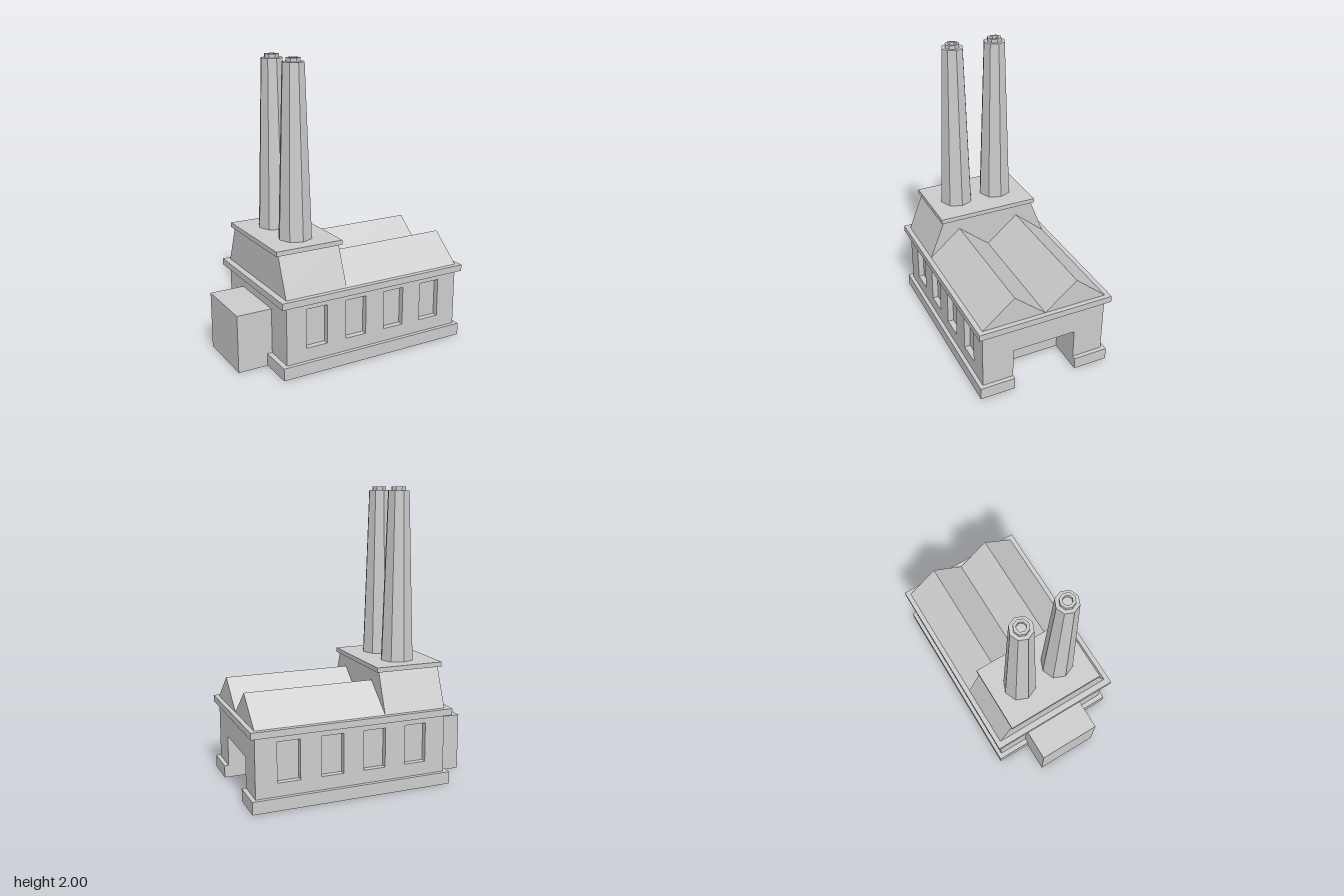
import * as THREE from 'three';

const material = new THREE.MeshStandardMaterial({ color: 0xcccccc, flatShading: true });

function add(parent, name, geometry) {
  const mesh = new THREE.Mesh(geometry, material);
  mesh.name = name;
  parent.add(mesh);
  return mesh;
}

// Box given by its limits on each axis
function block(x0, x1, y0, y1, z0, z1) {
  return new THREE.BoxGeometry(x1 - x0, y1 - y0, z1 - z0)
    .translate((x0 + x1) / 2, (y0 + y1) / 2, (z0 + z1) / 2);
}

function polygon(points) {
  return new THREE.Shape(points.map(([x, y]) => new THREE.Vector2(x, y)));
}

// Rectangular footprint with the doorway cut into its +x end
function notchedFootprint(x0, x1, halfZ, y0, y1) {
  const doorHalf = 0.225, doorBack = 0.54;
  const shape = polygon([
    [x0, -halfZ], [x1, -halfZ], [x1, -doorHalf], [doorBack, -doorHalf],
    [doorBack, doorHalf], [x1, doorHalf], [x1, halfZ], [x0, halfZ],
  ]);
  return new THREE.ExtrudeGeometry(shape, { depth: y1 - y0, bevelEnabled: false })
    .rotateX(-Math.PI / 2).translate(0, y0, 0);
}

// Cross-section in z and y, extended along x
function alongX(points, x0, x1) {
  return new THREE.ExtrudeGeometry(polygon(points), { depth: x1 - x0, bevelEnabled: false })
    .rotateY(Math.PI / 2).translate(x0, 0, 0);
}

// Long wall panel with four window openings
function windowWall(x0, x1, y0, y1, depth) {
  const shape = polygon([[x0, y0], [x1, y0], [x1, y1], [x0, y1]]);
  for (let i = 0; i < 4; i++) {
    const cx = -0.342 + i * 0.296, half = 0.077;
    shape.holes.push(new THREE.Path([
      [cx - half, 0.175], [cx - half, 0.445], [cx + half, 0.445], [cx + half, 0.175],
    ].map(([x, y]) => new THREE.Vector2(x, y))));
  }
  return new THREE.ExtrudeGeometry(shape, { depth, bevelEnabled: false });
}

// Tapered eight-sided stack with a hollow collar at the top
function chimney(z) {
  const profile = [
    [0, 0.83], [0.115, 0.83], [0.075, 1.975], [0.05, 1.975],
    [0.05, 2], [0.031, 2], [0.031, 1.975], [0, 1.975],
  ].map(([r, y]) => new THREE.Vector2(r, y));
  return new THREE.LatheGeometry(profile, 8).translate(-0.342, 0, z);
}

export function createModel() {
  const model = new THREE.Group();
  model.name = 'powerStation';

  // Plinth and hall, both cut by the doorway
  const recess = 0.04, wallZ = 0.443, coreZ = wallZ - recess;
  add(model, 'plinth', notchedFootprint(-0.595, 0.797, 0.47, 0, 0.085));
  add(model, 'lowerHall', notchedFootprint(-0.56, 0.768, coreZ, 0.085, 0.297));
  add(model, 'upperHall', block(-0.56, 0.768, 0.297, 0.49, -coreZ, coreZ));

  // Window walls on the two long sides
  for (const side of [1, -1]) {
    const wall = add(model, side > 0 ? 'frontWindowWall' : 'backWindowWall',
      windowWall(-0.56, 0.768, 0.085, 0.49, recess));
    wall.position.z = side > 0 ? coreZ : -wallZ;
  }

  // Cornice and side annex
  add(model, 'cornice', block(-0.603, 0.8, 0.488, 0.533, -0.477, 0.477));
  add(model, 'annex', block(-0.803, -0.56, 0, 0.398, -0.225, 0.225));

  // Twin gabled roofs
  for (const side of [1, -1]) {
    const c = side * wallZ / 2, h = wallZ / 2;
    add(model, side > 0 ? 'frontGableRoof' : 'backGableRoof',
      alongX([[c - h, 0.533], [c + h, 0.533], [c, 0.72]], -0.13, 0.768));
  }

  // Sloped tower block with its cap, carrying the chimneys
  add(model, 'chimneyBlock',
    alongX([[-wallZ, 0.533], [wallZ, 0.533], [0.338, 0.8], [-0.338, 0.8]], -0.56, -0.12));
  add(model, 'chimneyBlockCap', block(-0.58, -0.102, 0.8, 0.832, -0.357, 0.357));
  for (const side of [1, -1]) {
    add(model, side > 0 ? 'frontChimney' : 'backChimney', chimney(side * 0.152));
  }

  return model;
}
